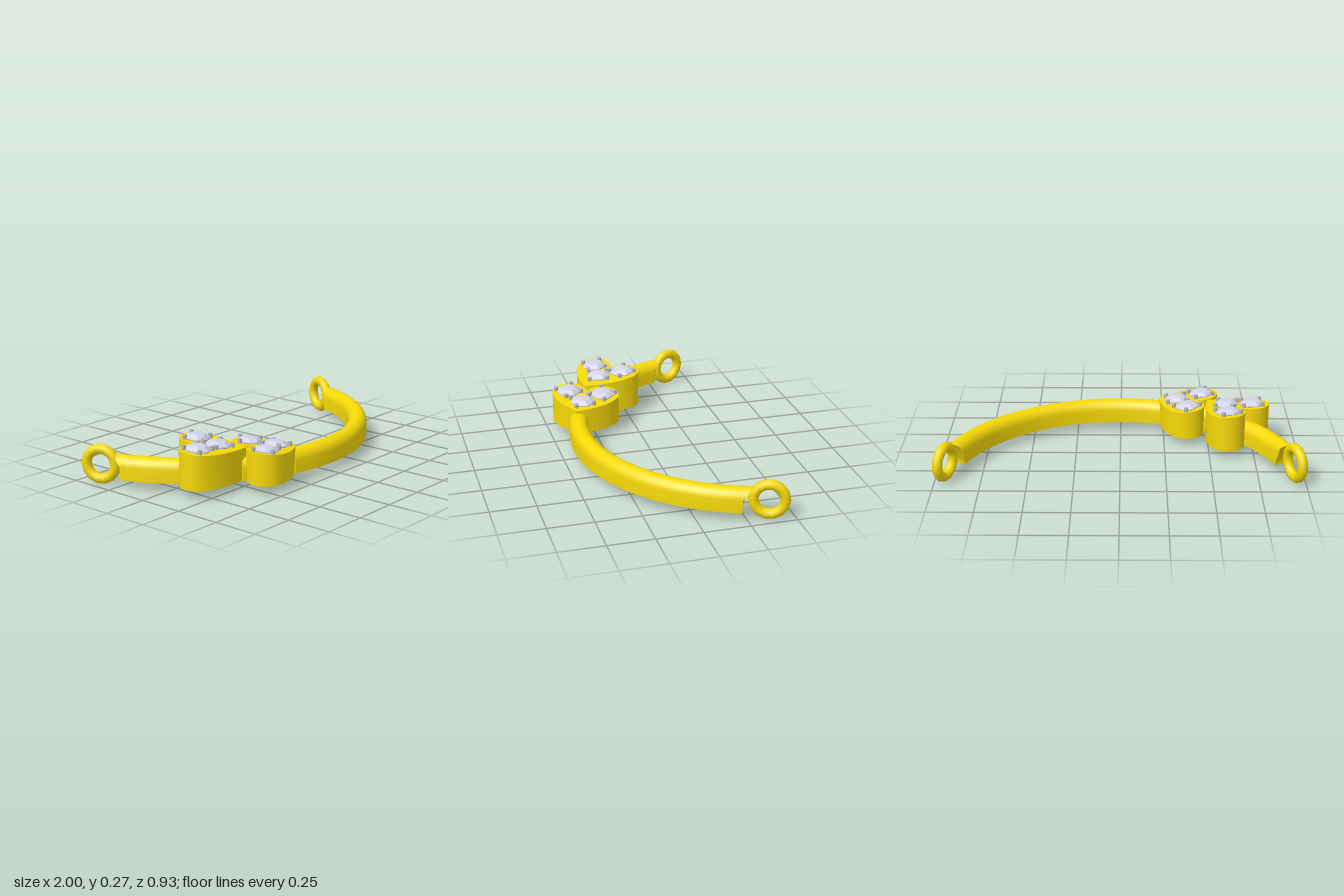
import * as THREE from 'three';
import { toCreasedNormals } from 'three/addons/utils/BufferGeometryUtils.js';

const gold = new THREE.MeshStandardMaterial({ color: 0xf5d808 });
const gem = new THREE.MeshStandardMaterial({ color: 0xd2d2ea, flatShading: true });
const prongMat = new THREE.MeshStandardMaterial({ color: 0xb8b8c0 });

const R = 0.95, ZC = -0.561, BASE = 0.05, WALL = 0.12, END = 1.225;

function add(parent, name, geometry, material) {
  const mesh = new THREE.Mesh(geometry, material);
  mesh.name = name;
  parent.add(mesh);
  return mesh;
}

// Moves every vertex of a geometry by a rule
function warp(geometry, rule) {
  const p = geometry.attributes.position, v = new THREE.Vector3();
  for (let i = 0; i < p.count; i++) {
    rule(v.fromBufferAttribute(p, i));
    p.setXYZ(i, v.x, v.y, v.z);
  }
  return toCreasedNormals(geometry, 0.6);
}

// Band section: straight walls, rounded top, optionally channelled below
function bandSection(hollow) {
  const arch = (w, wall, top) => {
    const pts = [new THREE.Vector2(w, BASE)];
    for (let i = 0; i <= 12; i++) {
      const a = Math.PI * i / 12;
      pts.push(new THREE.Vector2(w * Math.cos(a), wall + (top - wall) * Math.sin(a)));
    }
    pts.push(new THREE.Vector2(-w, BASE));
    return pts;
  };
  const pts = arch(0.053, WALL, 0.175);
  if (hollow) pts.push(...arch(0.031, 0.105, 0.145).reverse());
  return new THREE.Shape(pts);
}

// Extrudes the section and bends it round the arc between two angles;
// lean pushes the rounded top past the positive or negative end
function bandPiece(from, to, hollow, lean = 0) {
  const steps = Math.max(1, Math.ceil((to - from) / 0.05));
  const geo = new THREE.ExtrudeGeometry(bandSection(hollow), { depth: 1, steps, bevelEnabled: false });
  return warp(geo, (v) => {
    const reach = lean * Math.max(0, v.y - WALL) * (lean > 0 ? v.z : 1 - v.z);
    const phi = from + (to - from) * v.z + reach, r = R - v.x;
    v.set(r * Math.sin(phi), v.y, ZC + r * Math.cos(phi));
  });
}

// Heart outline in the plan, placed by its two lobe centres
function heartPoints(h, r, cleft, tip) {
  const [x1, z1] = h.lobes[0], [x2, z2] = h.lobes[1];
  const a = Math.hypot(x1 - x2, z1 - z2) / 2;
  const px = (x1 - x2) / (2 * a), pz = (z1 - z2) / (2 * a);
  const half = [];
  for (let i = 0; i <= 24; i++) {
    const t = -Math.PI + 0.33 + (Math.PI + 0.02) * i / 24;
    half.push([a + r * Math.cos(t), r * Math.sin(t)]);
  }
  const [eu, ev] = half[half.length - 1];
  const side = new THREE.QuadraticBezierCurve(
    new THREE.Vector2(eu, ev), new THREE.Vector2(eu - 0.03, ev + 0.1), new THREE.Vector2(0, tip));
  side.getPoints(10).slice(1, -1).forEach((q) => half.push([q.x, q.y]));
  const all = [[0, cleft], ...half, [0, tip], ...half.map(([u, v]) => [-u, v]).reverse()];
  return all.map(([u, v]) => new THREE.Vector2(
    (x1 + x2) / 2 + u * px - v * pz, -((z1 + z2) / 2 + u * pz + v * px)));
}

function heartSetting(h) {
  const group = new THREE.Group();
  const top = (x, z) => h.y - h.slopeX * (x - h.cx) - h.slopeZ * (z - h.cz);
  const extrude = (shape) => new THREE.ExtrudeGeometry(shape, { depth: 1, bevelEnabled: false, curveSegments: 16 })
    .rotateX(-Math.PI / 2);
  const outline = heartPoints(h, 0.098, -0.026, h.tip);
  const plate = 0.03;

  // Open wall below the plate; the hole runs the opposite way to the outline
  const wall = new THREE.Shape(outline);
  wall.holes.push(new THREE.Path(heartPoints(h, 0.078, 0.006, h.tip - 0.032).reverse()));
  add(group, 'heartWall', warp(extrude(wall), (v) => {
    v.y = v.y < 0.5 ? BASE : top(v.x, v.z) - plate;
  }), gold);

  // Tilted plate with a seat hole under each stone
  const face = new THREE.Shape(outline);
  h.stones.forEach(([x, z]) => {
    face.holes.push(new THREE.Path().absarc(x, -z, 0.05, 0, Math.PI * 2, false));
  });
  add(group, 'heartPlate', warp(extrude(face), (v) => {
    v.y = top(v.x, v.z) - (v.y < 0.5 ? plate : 0);
  }), gold);

  // Faceted stones, each held by four prongs
  const profile = [[0, -0.05], [0.07, 0.002], [0.07, 0.008], [0.042, 0.026], [0, 0.03]]
    .map(([x, y]) => new THREE.Vector2(x, y));
  const normal = new THREE.Vector3(h.slopeX, 1, h.slopeZ).normalize();
  h.stones.forEach(([x, z], k) => {
    const setting = new THREE.Group();
    setting.name = 'stoneSetting';
    setting.position.set(x, top(x, z), z);
    setting.quaternion.setFromUnitVectors(new THREE.Vector3(0, 1, 0), normal);
    add(setting, 'stone', new THREE.LatheGeometry(profile, 7), gem).rotation.y = k * 0.9;
    for (let i = 0; i < 4; i++) {
      const a = h.turn + k * 0.3 + i * Math.PI / 2;
      add(setting, 'prong', new THREE.CylinderGeometry(0.012, 0.012, 0.045, 8), prongMat)
        .position.set(0.074 * Math.cos(a), 0.001, 0.074 * Math.sin(a));
    }
    group.add(setting);
  });
  return group;
}

export function createModel() {
  const model = new THREE.Group();

  // Curved band, interrupted by the two hearts, with closed ends
  const band = new THREE.Group();
  band.name = 'band';
  add(band, 'longBand', bandPiece(-0.27, END - 0.03, true), gold);
  add(band, 'shortBand', bandPiece(-END + 0.03, -0.84, true), gold);
  add(band, 'heartLink', bandPiece(-0.575, -0.5, true), gold);
  add(band, 'leftEnd', bandPiece(END - 0.03, END, false, 0.8), gold);
  add(band, 'rightEnd', bandPiece(-END, -END + 0.03, false, -0.8), gold);
  model.add(band);

  // Upright end rings
  for (const s of [-1, 1]) {
    const ring = add(model, s > 0 ? 'leftRing' : 'rightRing', new THREE.TorusGeometry(0.083, 0.0275, 12, 14), gold);
    ring.position.set(s * 0.941, 0.112, -0.364);
    ring.rotation.y = s * 1.18;
  }

  // Two tilted heart settings
  const outerHeart = heartSetting({
    lobes: [[-0.60, 0.014], [-0.745, 0.15]], tip: 0.25, turn: 0.4,
    stones: [[-0.602, 0.014], [-0.745, 0.15], [-0.60, 0.158]],
    y: 0.243, cx: -0.66, cz: 0.09, slopeX: 0.05, slopeZ: 0.08,
  });
  outerHeart.name = 'outerHeart';
  const innerHeart = heartSetting({
    lobes: [[-0.38, 0.19], [-0.463, 0.364]], tip: 0.22, turn: 0.1,
    stones: [[-0.38, 0.185], [-0.465, 0.368], [-0.322, 0.318]],
    y: 0.21, cx: -0.4, cz: 0.28, slopeX: 0.1, slopeZ: 0.02,
  });
  innerHeart.name = 'innerHeart';
  model.add(outerHeart, innerHeart);
  return model;
}
